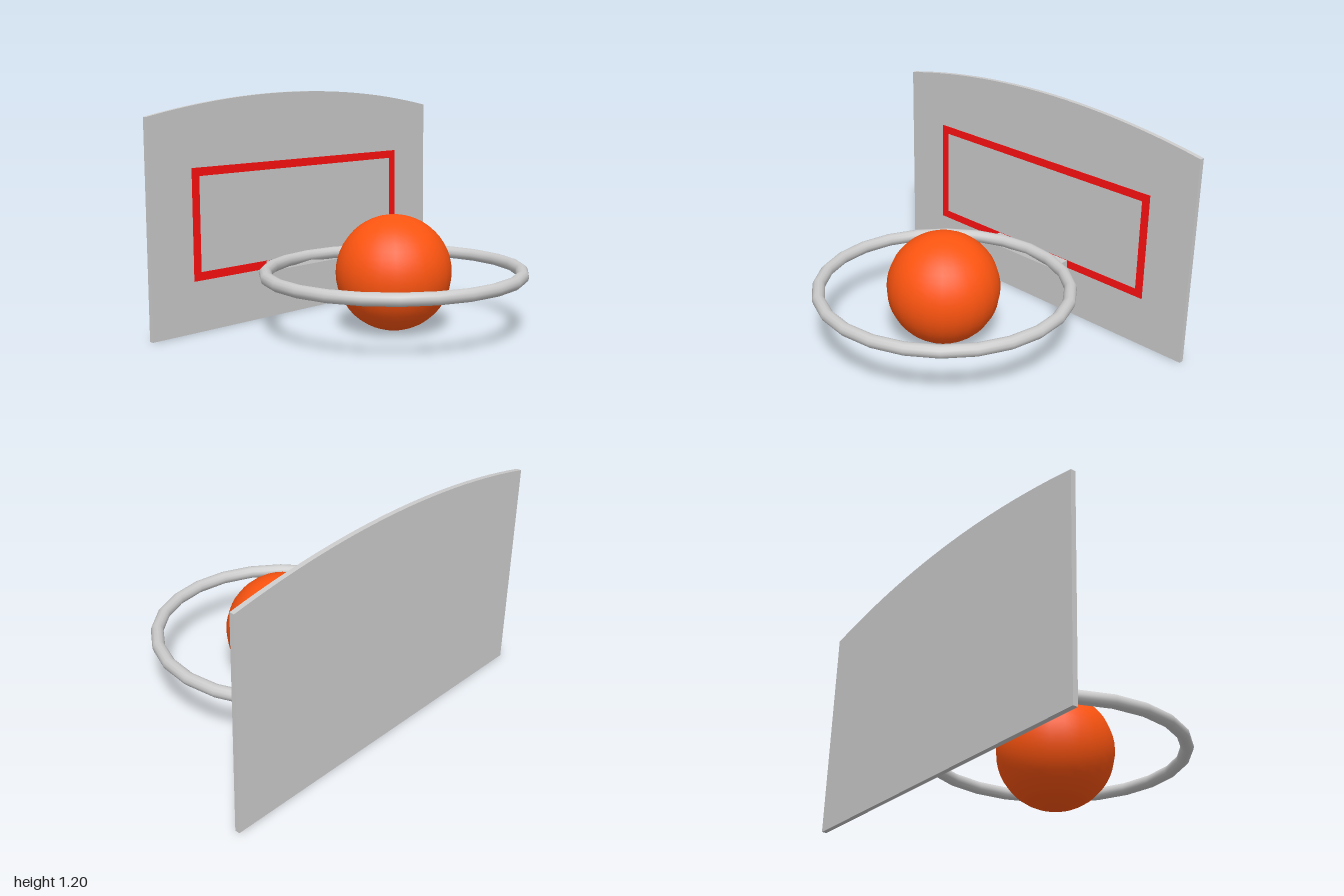
import * as THREE from 'three';

const paint = (color) => new THREE.MeshStandardMaterial({ color });

// Extrudes a shape drawn in (-z, y) along +x, starting at x
function slab(name, shape, x, depth, material) {
  const geo = new THREE.ExtrudeGeometry(shape, { depth, bevelEnabled: false, curveSegments: 12 });
  geo.rotateY(Math.PI / 2);
  geo.translate(x, 0, 0);
  const mesh = new THREE.Mesh(geo, material);
  mesh.name = name;
  return mesh;
}

function rectangle(path, x0, y0, x1, y1) {
  path.moveTo(x0, y0).lineTo(x1, y0).lineTo(x1, y1).lineTo(x0, y1).closePath();
  return path;
}

export function createModel() {
  const group = new THREE.Group();
  const grey = paint(0xcccccc);

  // Backboard: flat panel with a shallow arc along its top
  const radius = 5.05, half = Math.asin(1 / radius);
  const board = new THREE.Shape();
  board.moveTo(-1, 0);
  board.lineTo(1, 0);
  board.absarc(0, 1.2 - radius, radius, Math.PI / 2 - half, Math.PI / 2 + half, false);
  board.closePath();
  group.add(slab('backboard', board, -0.7, 0.025, grey));

  // Red target frame on the board's face
  const frame = rectangle(new THREE.Shape(), -0.743, 0.265, 0.737, 0.838);
  frame.holes.push(rectangle(new THREE.Path(), -0.698, 0.308, 0.692, 0.795));
  group.add(slab('targetFrame', frame, -0.676, 0.003, paint(0xff1010)));

  // Bracket: slab with a sloping end, joining the rim to the board
  const profile = new THREE.Shape();
  profile.moveTo(-0.676, 0.265);
  profile.lineTo(-0.606, 0.265);
  profile.lineTo(-0.618, 0.307);
  profile.lineTo(-0.676, 0.307);
  profile.closePath();
  const bracketGeo = new THREE.ExtrudeGeometry(profile, { depth: 0.505, bevelEnabled: false });
  const bracket = new THREE.Mesh(bracketGeo, grey);
  bracket.name = 'rimBracket';
  bracket.position.z = -0.235;
  group.add(bracket);

  // Rim
  const rim = new THREE.Mesh(new THREE.TorusGeometry(0.652, 0.033, 12, 24), grey);
  rim.name = 'rim';
  rim.rotation.x = Math.PI / 2;
  rim.position.set(0.012, 0.302, 0.01);
  group.add(rim);

  // Ball
  const ball = new THREE.Mesh(new THREE.SphereGeometry(0.295, 24, 24), paint(0xff5510));
  ball.name = 'ball';
  ball.position.set(0.014, 0.301, 0.014);
  group.add(ball);

  return group;
}
